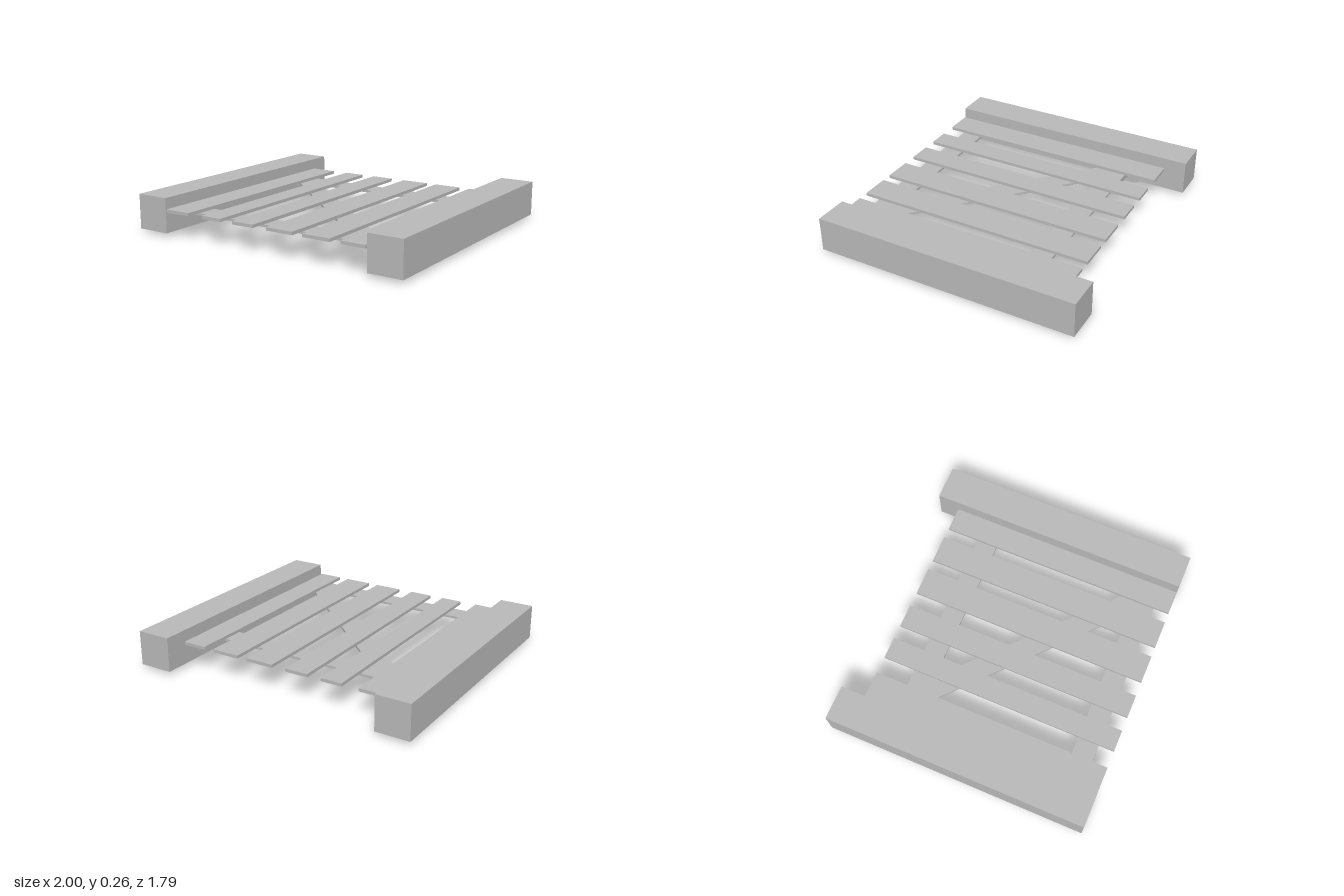
import * as THREE from 'three';

export function createModel() {
  const gate = new THREE.Group();
  gate.name = 'gate';
  const grey = new THREE.MeshStandardMaterial({ color: 0xb8b8b8 });
  grey.name = 'plain grey';

  // Box given by its limits on each axis
  function box(name, x0, x1, y0, y1, z0, z1) {
    const mesh = new THREE.Mesh(new THREE.BoxGeometry(x1 - x0, y1 - y0, z1 - z0), grey);
    mesh.position.set((x0 + x1) / 2, (y0 + y1) / 2, (z0 + z1) / 2);
    mesh.name = name;
    gate.add(mesh);
  }

  // Flat plate with an outline of [x, z] points, between two heights
  function plate(name, points, y0, y1) {
    const shape = new THREE.Shape(points.map(([x, z]) => new THREE.Vector2(x, -z)));
    const geometry = new THREE.ExtrudeGeometry(shape, { depth: y1 - y0, bevelEnabled: false });
    geometry.rotateX(-Math.PI / 2);
    const mesh = new THREE.Mesh(geometry, grey);
    mesh.position.y = y0;
    mesh.name = name;
    gate.add(mesh);
  }

  // Heavy posts on both sides
  box('rightPost', -1, -0.768, 0.025, 0.26, -0.9, 0.895);
  box('leftPost', 0.765, 1, 0.025, 0.26, -0.9, 0.895);

  // Slats of uneven width
  const slats = [[-0.76, -0.573], [-0.455, -0.308], [-0.21, -0.05],
    [0.053, 0.247], [0.32, 0.513], [0.587, 0.753]];
  slats.forEach(([x0, x1], i) => box(`slat${i + 1}`, x0, x1, 0.166, 0.187, -0.75, 0.895));

  // Cross rails and the diagonal brace between them
  box('upperRail', -0.743, 0.753, 0.15, 0.166, -0.53, -0.387);
  box('lowerRail', -0.743, 0.753, 0.15, 0.166, 0.647, 0.79);
  plate('brace', [[-0.655, -0.387], [-0.447, -0.387], [0.695, 0.647], [0.488, 0.647]], 0.15, 0.166);

  // Strap hinges: a leaf by the post and a long tapered strap under each rail
  for (const z of [-0.475, 0.705]) {
    box('hingeLeaf', 0.735, 0.767, 0.146, 0.162, z - 0.145, z + 0.145);
    plate('hingeStrap', [[-0.03, z - 0.02], [-0.03, z + 0.02], [0.735, z + 0.05], [0.735, z - 0.05]], 0.145, 0.15);
  }

  // Latch under the upper rail, with a bolt reaching the post
  plate('latch', [[-0.53, -0.53], [-0.53, -0.39], [-0.69, -0.39], [-0.74, -0.44],
    [-0.768, -0.45], [-0.768, -0.53]], 0.13, 0.15);

  // Keeper plate under the post
  plate('keeper', [[-0.905, -0.55], [-0.905, -0.39], [-0.79, -0.39], [-0.768, -0.44],
    [-0.768, -0.525], [-0.79, -0.55]], 0, 0.025);

  return gate;
}
